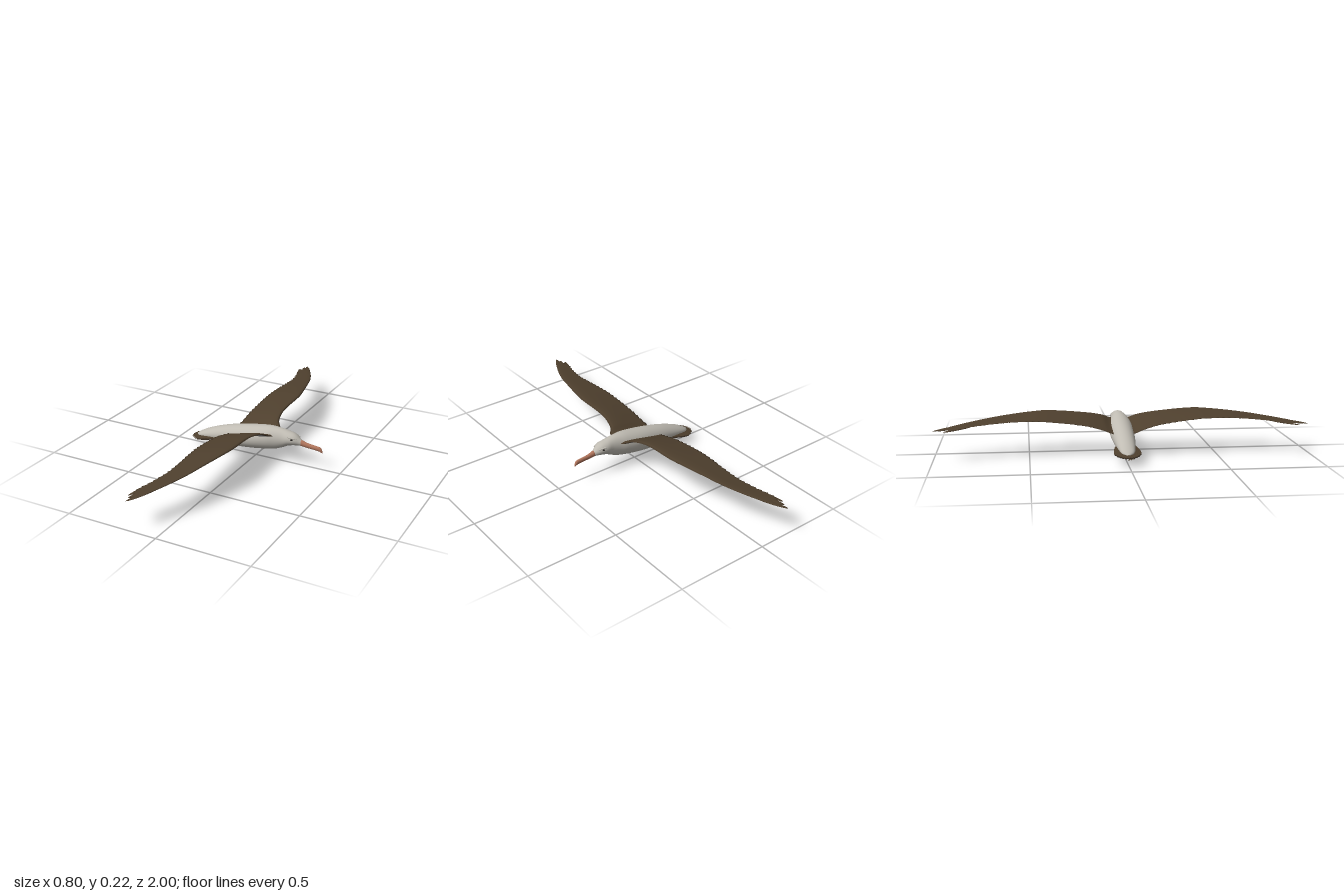
import * as THREE from 'three';
import { mergeVertices } from 'three/addons/utils/BufferGeometryUtils.js';

const material = (name, color, side = THREE.FrontSide) => {
  const m = new THREE.MeshStandardMaterial({ color, side });
  m.name = name;
  return m;
};

// Smooth interpolation of table rows keyed by their first column
function sample(rows, t) {
  const n = rows.length;
  let i = 0;
  while (i < n - 2 && t > rows[i + 1][0]) i++;
  const a = rows[i], b = rows[i + 1], h = b[0] - a[0];
  const k = THREE.MathUtils.clamp((t - a[0]) / h, 0, 1);
  const p = rows[Math.max(i - 1, 0)], q = rows[Math.min(i + 2, n - 1)];
  return a.map((v, c) => {
    const m0 = (b[c] - p[c]) / (b[0] - p[0]) * h;
    const m1 = (q[c] - v) / (q[0] - a[0]) * h;
    const k2 = k * k, k3 = k2 * k;
    return v * (2 * k3 - 3 * k2 + 1) + m0 * (k3 - 2 * k2 + k) + b[c] * (3 * k2 - 2 * k3) + m1 * (k3 - k2);
  });
}

// Grid surface; pick(u, v) chooses the material index of each cell
function surface(name, nu, nv, fn, mats, pick = () => 0, flip = false) {
  const pos = [], lists = mats.map(() => []);
  for (let i = 0; i <= nu; i++) for (let j = 0; j <= nv; j++) pos.push(...fn(i / nu, j / nv));
  for (let i = 0; i < nu; i++) for (let j = 0; j < nv; j++) {
    const a = i * (nv + 1) + j, b = a + 1, c = a + nv + 1, d = c + 1;
    lists[pick((i + 0.5) / nu, (j + 0.5) / nv)].push(...(flip ? [a, c, b, b, c, d] : [a, b, c, b, d, c]));
  }
  let geo = new THREE.BufferGeometry();
  geo.setAttribute('position', new THREE.Float32BufferAttribute(pos, 3));
  geo.setIndex(lists.flat());
  let start = 0;
  lists.forEach((l, k) => { geo.addGroup(start, l.length, k); start += l.length; });
  geo = mergeVertices(geo, 1e-5);
  geo.computeVertexNormals();
  const mesh = new THREE.Mesh(geo, mats);
  mesh.name = name;
  return mesh;
}

// Oval tube along x from rows of [x, top, bottom, halfWidth]
function ovalLoft(name, rows, nu, nv, mat) {
  const x0 = rows[0][0], x1 = rows[rows.length - 1][0];
  return surface(name, nu, nv, (u, v) => {
    const [x, top, bot, w] = sample(rows, x0 + (x1 - x0) * u);
    const a = (v % 1) * Math.PI * 2;
    return [x, (top + bot) / 2 + Math.cos(a) * (top - bot) / 2, Math.sin(a) * w];
  }, [mat]);
}

// Thin leaf-shaped blade between two points
function blade(name, from, to, width, mat, thick = 0.003) {
  const p = new THREE.Vector3(...from), q = new THREE.Vector3(...to);
  const geo = new THREE.SphereGeometry(1, 14, 8);
  geo.scale(p.distanceTo(q) / 2, thick, width);
  const mesh = new THREE.Mesh(geo, mat);
  const d = q.clone().sub(p).normalize();
  if (d.x < 0) d.negate();
  mesh.quaternion.setFromUnitVectors(new THREE.Vector3(1, 0, 0), d);
  mesh.position.copy(p).add(q).multiplyScalar(0.5);
  mesh.name = name;
  return mesh;
}

// x, top, bottom, half width
const BODY = [
  [-0.37, 0.06, 0.054, 0.004], [-0.35, 0.074, 0.049, 0.028], [-0.3, 0.101, 0.043, 0.043],
  [-0.2, 0.139, 0.04, 0.055], [-0.1, 0.165, 0.04, 0.062], [0, 0.184, 0.05, 0.065],
  [0.08, 0.196, 0.062, 0.057], [0.13, 0.197, 0.073, 0.046], [0.17, 0.193, 0.09, 0.04],
  [0.2, 0.187, 0.106, 0.04], [0.23, 0.18, 0.114, 0.035], [0.25, 0.169, 0.117, 0.027],
  [0.265, 0.155, 0.118, 0.018], [0.285, 0.143, 0.121, 0.008]];
const BEAK = [
  [0.262, 0.15, 0.119, 0.014], [0.275, 0.15, 0.117, 0.014], [0.29, 0.145, 0.115, 0.012],
  [0.32, 0.138, 0.112, 0.01], [0.36, 0.134, 0.109, 0.009], [0.38, 0.131, 0.106, 0.008],
  [0.39, 0.122, 0.101, 0.006], [0.396, 0.106, 0.1, 0.002]];
// span z, leading x, trailing x, leading y, trailing y
const WING = [
  [0.03, 0.125, -0.14, 0.155, 0.122], [0.06, 0.118, -0.143, 0.164, 0.123], [0.1, 0.09, -0.136, 0.184, 0.138],
  [0.2, 0.07, -0.13, 0.203, 0.165], [0.4, 0.072, -0.124, 0.217, 0.19], [0.5, 0.053, -0.118, 0.214, 0.193],
  [0.6, 0.028, -0.112, 0.207, 0.19], [0.7, 0, -0.116, 0.197, 0.183], [0.8, -0.04, -0.137, 0.185, 0.175],
  [0.9, -0.09, -0.166, 0.172, 0.166], [0.93, -0.11, -0.15, 0.168, 0.165]];

export function createModel() {
  const white = material('plumage white', 0xc0bcb3);
  const brown = material('upper wing brown', 0x4f402e);
  const dark = material('flight feather dark', 0x362b21);
  const grey = material('under wing grey', 0x8c8c8a);
  const horn = material('beak pink', 0xb0755c);
  const skin = material('foot olive', 0x6a5c48, THREE.DoubleSide);
  const black = material('eye dark', 0x2a2623);

  const bird = new THREE.Group();
  bird.name = 'seabird';
  bird.add(ovalLoft('body', BODY, 64, 32, white), ovalLoft('beak', BEAK, 32, 16, horn));

  // Wings: closed airfoil, brown above, grey panel with dark borders below
  for (const s of [1, -1]) {
    const wing = new THREE.Group();
    wing.name = s > 0 ? 'rightWing' : 'leftWing';
    const chord = v => (v < 0.5 ? v * 2 : 2 - v * 2);
    wing.add(surface('wingSurface', 112, 40, (u, v) => {
      const z = 0.03 + 0.9 * u, t = chord(v);
      const [, xl, xt, yl, yt] = sample(WING, z);
      const tooth = 0.008 * ((u * 28) % 1) * t ** 8;
      const arch = Math.sin(Math.PI * Math.sqrt(t));
      const size = (xl - xt) / 0.2;
      const y = yl + (yt - yl) * t + arch * size * (v < 0.5 ? 0.009 : -0.003);
      return [xl + (xt - xl) * t - tooth, y, s * z];
    }, [brown, grey, dark], (u, v) => {
      if (v < 0.5) return 0;
      const z = 0.03 + 0.9 * u, t = chord(v);
      const front = z > 0.42 && z < 0.55 ? 0.27 : z > 0.55 ? 0.16 : 0.06;
      const back = z > 0.55 ? 0.72 - (z - 0.55) * 2 : 0.74;
      return t > front && t < back ? 1 : 2;
    }, s < 0));
    // Separated primaries at the tip
    wing.add(
      blade('outerPrimary', [-0.07, 0.176, s * 0.83], [-0.157, 0.16, s], 0.014, brown),
      blade('middlePrimary', [-0.1, 0.174, s * 0.82], [-0.162, 0.162, s * 0.972], 0.015, brown),
      blade('innerPrimary', [-0.12, 0.173, s * 0.8], [-0.181, 0.158, s * 0.945], 0.013, brown));
    bird.add(wing);

    // Eye and brow
    bird.add(
      blade('eye', [0.221, 0.154, s * 0.0355], [0.236, 0.154, s * 0.0305], 0.004, black, 0.0045),
      blade('brow', [0.205, 0.166, s * 0.037], [0.256, 0.157, s * 0.0215], 0.004, white, 0.004));
  }

  // Tail fan: arched, overlapping feathers, dark layer beneath
  const tail = new THREE.Group();
  tail.name = 'tail';
  for (let i = -5; i <= 5; i++) {
    const k = i / 5, a = k * 0.36, len = 0.2 - 0.04 * k * k;
    const from = [-0.2, 0.092 - 0.012 * k * k, k * 0.032];
    const tip = [-0.2 - len * Math.cos(a), 0.047 + 0.008 * k * k, k * 0.026 + len * Math.sin(a) * 0.65];
    tail.add(blade('tailFeather', from, tip, 0.019, brown));
    const low = p => [p[0] + 0.006, p[1] - 0.006, p[2]];
    tail.add(blade('underTailFeather', low(from), low(tip), 0.017, dark));
  }
  bird.add(tail);

  // Single trailing leg with webbed foot
  const ankle = [-0.238, 0.034, 0.032];
  const toes = [[-0.298, 0.018, 0.036], [-0.287, 0.011, 0.022], [-0.265, 0.004, 0.012]];
  const path = new THREE.CatmullRomCurve3([[-0.195, 0.085, 0.046], [-0.222, 0.058, 0.045], ankle]
    .map(p => new THREE.Vector3(...p)));
  const leg = new THREE.Mesh(new THREE.TubeGeometry(path, 12, 0.007, 10), white);
  leg.name = 'leg';
  const foot = new THREE.Group();
  foot.name = 'foot';
  foot.add(surface('web', 6, 8, (u, v) => {
    const edge = toes[0].map((c, i) => c + (toes[2][i] - c) * v);
    return ankle.map((c, i) => c + (edge[i] - c) * u * (1 - 0.1 * Math.sin(v * Math.PI)));
  }, [skin]));
  toes.forEach(t => foot.add(blade('toe', ankle, t, 0.004, skin, 0.004)));
  bird.add(leg, foot);
  return bird;
}
